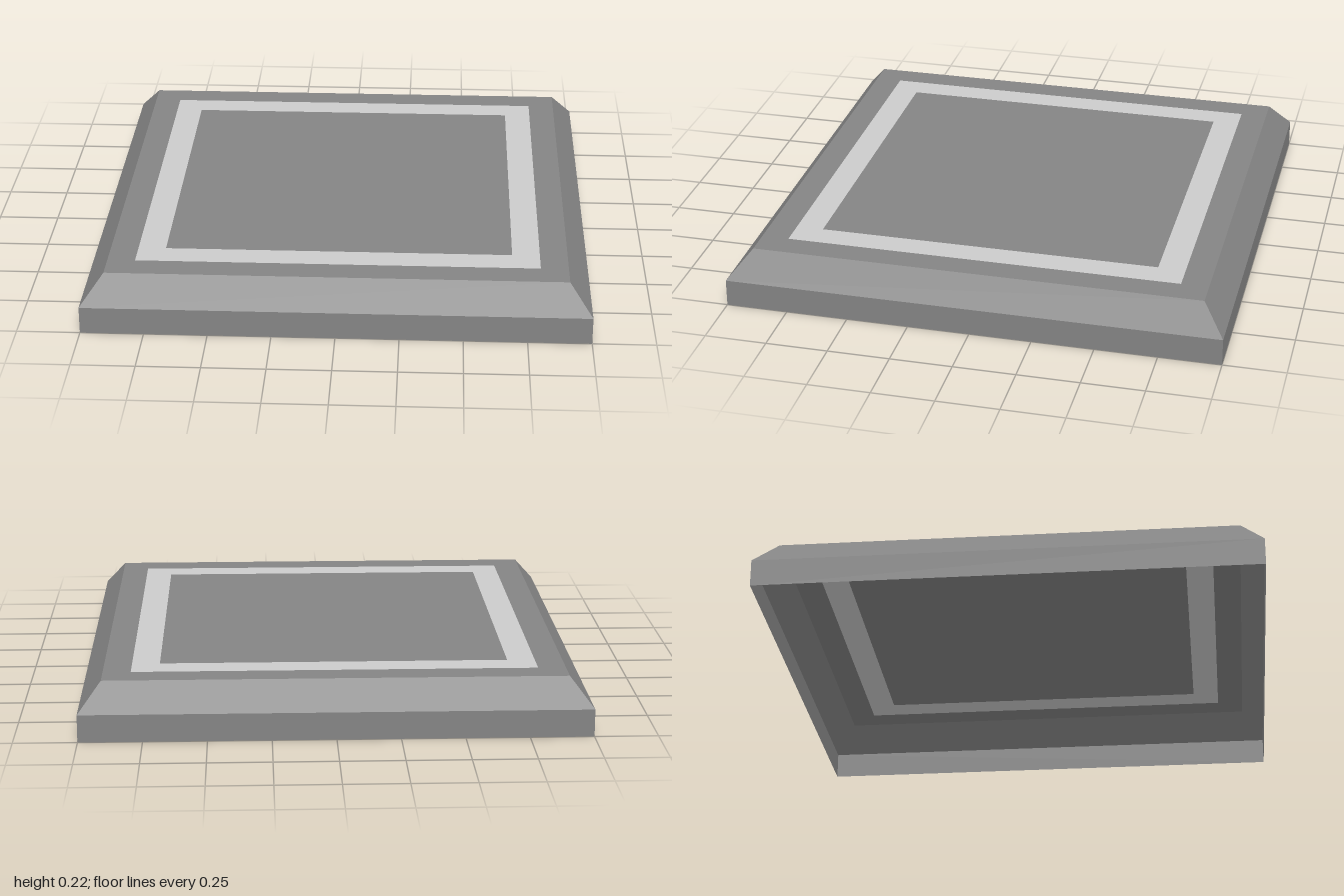
import * as THREE from 'three';

// Half-widths and heights of the square, open-bottomed tile
const HALF = 1, TOP_HALF = 0.91, STRIPE_OUT = 0.8, STRIPE_IN = 0.69;
const RIM_Y = 0.11, TOP_Y = 0.22;

const material = (color) =>
  new THREE.MeshStandardMaterial({ color, flatShading: true, side: THREE.DoubleSide });

export function createModel() {
  const model = new THREE.Group();
  model.name = 'floorTile';
  const dark = material(0x848484);
  const light = material(0xcccccc);

  const add = (name, geometry, mat) => {
    const mesh = new THREE.Mesh(geometry, mat);
    mesh.name = name;
    model.add(mesh);
  };

  // Four-sided wall running between two square outlines
  const wall = (name, bottomHalf, topHalf, y0, y1) => {
    const g = new THREE.CylinderGeometry(
      topHalf * Math.SQRT2, bottomHalf * Math.SQRT2, y1 - y0, 4, 1, true, Math.PI / 4);
    add(name, g.translate(0, (y0 + y1) / 2, 0), dark);
  };

  // Flat square frame lying in the top face
  const frame = (name, outer, inner, mat) => {
    const g = new THREE.RingGeometry(
      inner * Math.SQRT2, outer * Math.SQRT2, 4, 1, Math.PI / 4);
    add(name, g.rotateX(-Math.PI / 2).translate(0, TOP_Y, 0), mat);
  };

  // Sides
  wall('sideWalls', HALF, HALF, 0, RIM_Y);
  wall('bevel', HALF, TOP_HALF, RIM_Y, TOP_Y);

  // Top face: border, light stripe and centre panel, flush with each other
  frame('topBorder', TOP_HALF, STRIPE_OUT, dark);
  frame('lightStripe', STRIPE_OUT, STRIPE_IN, light);
  const panel = new THREE.PlaneGeometry(2 * STRIPE_IN, 2 * STRIPE_IN);
  add('centrePanel', panel.rotateX(-Math.PI / 2).translate(0, TOP_Y, 0), dark);

  return model;
}
